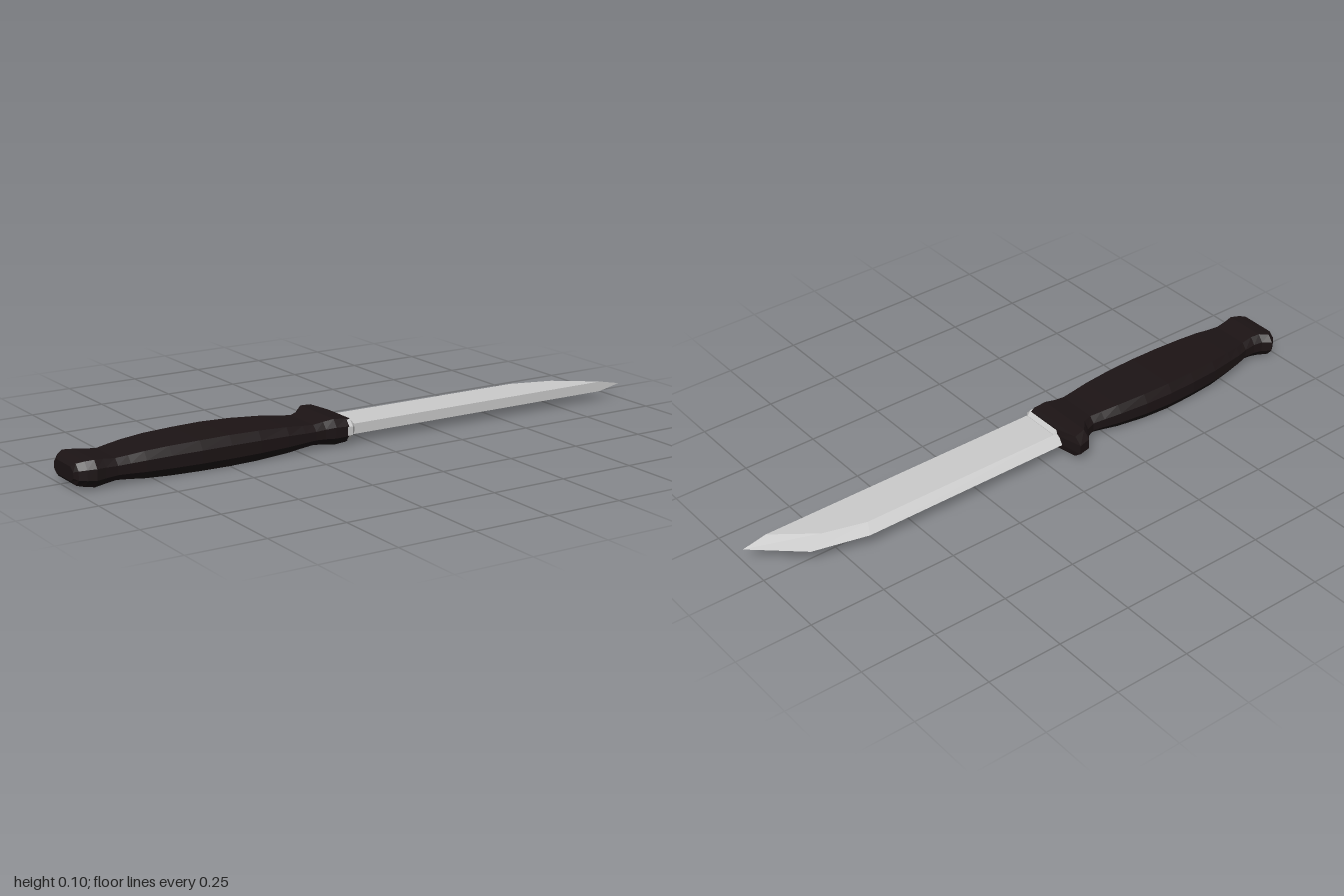
import * as THREE from 'three';

const MID = 0.048; // height of the knife's centre plane

// Skin a list of rings (each an equal count of [x, y, z]) running along +x, with end caps
function loft(rings) {
  const pos = [], n = rings[0].length;
  const tri = (...pts) => pts.forEach((p) => pos.push(p[0], p[1] + MID, p[2]));
  for (let i = 0; i < rings.length - 1; i++) {
    for (let j = 0; j < n; j++) {
      const k = (j + 1) % n;
      const a = rings[i][j], b = rings[i][k], c = rings[i + 1][j], d = rings[i + 1][k];
      tri(a, b, c);
      tri(b, d, c);
    }
  }
  const first = rings[0], last = rings[rings.length - 1];
  for (let j = 1; j < n - 1; j++) {
    tri(first[0], first[j + 1], first[j]);
    tri(last[0], last[j], last[j + 1]);
  }
  const geo = new THREE.BufferGeometry();
  geo.setAttribute('position', new THREE.Float32BufferAttribute(pos, 3));
  geo.computeVertexNormals();
  return geo;
}

// Chamfered cross-section: back and front z, half height, chamfers at back and front
function octagon(x, back, front, h, cb = 0.018, cf = 0.018) {
  const k = h * 0.42;
  return [
    [x, h, back + cb], [x, h, front - cf], [x, k, front], [x, -k, front],
    [x, -h, front - cf], [x, -h, back + cb], [x, -k, back], [x, -k * -1, back],
  ];
}

export function createModel() {
  const group = new THREE.Group();
  const dark = new THREE.MeshStandardMaterial({ color: 0x1c1415, flatShading: true });
  const steel = new THREE.MeshStandardMaterial({ color: 0xcccccc, flatShading: true });
  const add = (name, geo, mat) => {
    const mesh = new THREE.Mesh(geo, mat);
    mesh.name = name;
    group.add(mesh);
  };

  // Handle with flared pommel, swelling grip and finger guard
  const stations = [
    [-1.0, -0.04, 0.09, 0.022], [-0.99, -0.052, 0.105, 0.033], [-0.967, -0.07, 0.115, 0.038],
    [-0.94, -0.05, 0.123, 0.041], [-0.91, -0.044, 0.118, 0.038], [-0.87, -0.046, 0.115, 0.033],
    [-0.83, -0.058, 0.117, 0.036], [-0.78, -0.067, 0.121, 0.041], [-0.7, -0.08, 0.124, 0.045],
    [-0.6, -0.087, 0.127, 0.047], [-0.5, -0.09, 0.127, 0.048], [-0.4, -0.085, 0.126, 0.046],
    [-0.3, -0.073, 0.122, 0.041], [-0.24, -0.062, 0.118, 0.035], [-0.2, -0.056, 0.115, 0.032],
    [-0.165, -0.07, 0.115, 0.036], [-0.13, -0.117, 0.12, 0.041, 0.025],
    [-0.088, -0.127, 0.122, 0.037, 0.027], [-0.07, -0.045, 0.115, 0.034],
  ];
  add('handle', loft(stations.map((s) => octagon(...s))), dark);

  // Tapered collar where the blade leaves the handle
  add('bolster', loft([
    octagon(-0.09, -0.04, 0.122, 0.033, 0.006, 0.016),
    octagon(-0.072, -0.035, 0.122, 0.032, 0.006, 0.016),
    octagon(-0.058, -0.03, 0.108, 0.018, 0.004, 0.006),
  ]), steel);

  // Blade: flat spine, flat sides, bevel down to the edge and a raked point
  const spine = 0.107, t = 0.0165;
  const profile = [ // bevel x, bevel z, edge x, edge z
    [-0.075, -0.03, -0.075, -0.04], [-0.06, -0.03, -0.06, -0.07], [0.65, -0.03, 0.67, -0.07],
    [0.79, 0.01, 0.85, -0.026], [0.92, spine, 1.0, spine],
  ];
  add('blade', loft(profile.map(([x, z, ex, ez]) => [
    [x, t, z], [x, t, spine], [x, -t, spine], [x, -t, z], [ex, 0, ez],
  ])), steel);

  return group;
}
